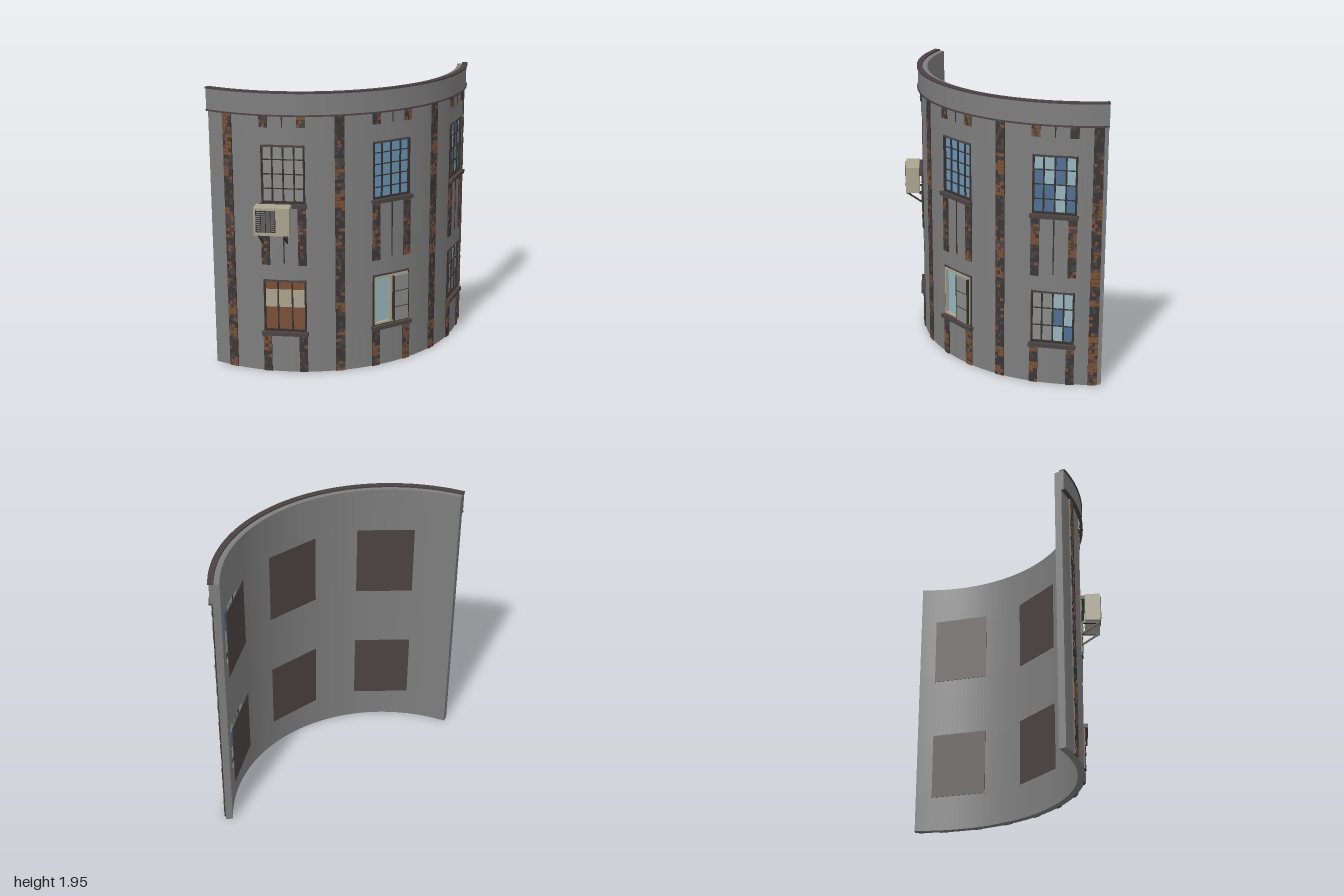
import * as THREE from 'three';
import { mergeGeometries } from 'three/addons/utils/BufferGeometryUtils.js';

const D = Math.PI / 180;
const mat = (name, color, side = THREE.FrontSide) => {
  const m = new THREE.MeshStandardMaterial({ color, side });
  m.name = name;
  return m;
};

export function createModel() {
  const M = {
    wall: mat('wall grey', 0x7d7d7d),
    trim: mat('dark trim', 0x4b4343, THREE.DoubleSide),
    brick: mat('dark brick', 0x3b3636),
    brown: mat('brown brick', 0x7a5036),
    blue: mat('blue glass', 0x6a93b5),
    deep: mat('deep blue glass', 0x4f6f92),
    pale: mat('pale glass', 0x96b4bd),
    beige: mat('beige', 0xaaa48f),
    grey: mat('grey pane', 0x8a8a88),
    bar: mat('window bar', 0x35312f),
  };
  let seed = 7;
  const rand = () => (seed = (seed * 16807) % 2147483647) / 2147483647;

  const model = new THREE.Group();
  model.name = 'curvedFacade';
  const root = new THREE.Group();
  root.name = 'facade';
  root.position.set(0.05, 0, -0.81); // centre of the curve
  model.add(root);

  const add = (parent, name, geo, m) => {
    const mesh = new THREE.Mesh(geo, m);
    mesh.name = name;
    parent.add(mesh);
    return mesh;
  };
  // Ring sector between two radii, two angles (degrees from front) and two heights
  const sector = (r0, r1, a0, a1, y0, y1) => {
    const n = Math.max(1, Math.ceil((a1 - a0) / 1.5));
    const pts = [];
    const put = (r, a) => pts.push(new THREE.Vector2(r * Math.sin(a * D), -r * Math.cos(a * D)));
    for (let i = 0; i <= n; i++) put(r1, a0 + ((a1 - a0) * i) / n);
    for (let i = n; i >= 0; i--) put(r0, a0 + ((a1 - a0) * i) / n);
    const g = new THREE.ExtrudeGeometry(new THREE.Shape(pts), { depth: y1 - y0, bevelEnabled: false });
    return g.rotateX(-Math.PI / 2).translate(0, y0, 0);
  };
  const box = (parent, name, m, x0, x1, y0, y1, z0, z1) =>
    add(parent, name, new THREE.BoxGeometry(x1 - x0, y1 - y0, z1 - z0)
      .translate((x0 + x1) / 2, (y0 + y1) / 2, (z0 + z1) / 2), m);

  const A0 = -65, A1 = 55.2, BAY = 38.2, HOLE = 7.45;
  const RI = 1.08, RO = 1.128;
  const bays = [-BAY, 0, BAY];
  const storeys = [[0.285, 0.665], [1.19, 1.595]];

  // Curved wall with six openings
  const wall = [];
  let y = 0;
  for (const [b, t] of storeys) {
    wall.push(sector(RI, RO, A0, A1, y, b));
    let a = A0;
    for (const c of bays) {
      wall.push(sector(RI, RO, a, c - HOLE, b, t));
      a = c + HOLE;
    }
    wall.push(sector(RI, RO, a, A1, b, t));
    y = t;
  }
  wall.push(sector(RI, RO, A0, A1, y, 1.935));
  add(root, 'wall', mergeGeometries(wall), M.wall);

  // Cornice band with dark trims
  add(root, 'corniceBand', sector(RO, 1.146, A0, A1, 1.795, 1.935), M.wall);
  add(root, 'corniceCap', sector(1.115, 1.153, A0, A1, 1.935, 1.946), M.trim);
  add(root, 'corniceLowerTrim', sector(RO, 1.153, A0, A1, 1.787, 1.797), M.trim);

  // Brick piers: dark strips with clumps of brown bricks
  const strips = [], browns = [], darks = [];
  const pier = (c, half, y0, y1) => {
    strips.push(sector(RO - 0.005, 1.136, c - half, c + half, y0, y1));
    const rows = Math.max(2, Math.round((y1 - y0) / 0.024)), h = (y1 - y0) / rows;
    let chance = 0.3;
    for (let r = 0; r < rows; r++) {
      if (r % 3 === 0) chance = rand() < 0.4 ? 0.6 : 0.08;
      const shift = r % 2 ? 0.33 : 0;
      for (let k = 0; k < 3; k++) {
        const u0 = Math.max(0, k - shift) / 3, u1 = k === 2 ? 1 : (k + 1 - shift) / 3;
        const p = rand();
        const list = p < chance ? browns : p > 0.75 ? darks : null;
        if (list) list.push(sector(1.134, 1.1385, c - half + 2 * half * u0, c - half + 2 * half * u1,
          y0 + r * h + 0.001, y0 + (r + 1) * h - 0.002));
      }
    }
  };
  for (const c of [-57.4, -19.2, 19.5, 52.2]) pier(c, 1.62, 0, 1.79);
  for (const c of bays)
    for (const s of [-6.25, 6.25])
      for (const [a, b] of [[0, 0.275], [0.77, 1.18], [1.71, 1.79]]) pier(c + s, 1.43, a, b);
  add(root, 'brickPiers', mergeGeometries(strips), M.brick);
  add(root, 'brownBricks', mergeGeometries(browns), M.brown);
  add(root, 'darkBricks', mergeGeometries(darks), M.trim);

  // Thin wall seams between the piers
  const seams = [];
  for (const c of bays)
    for (const [a, b] of [[0.785, 1.18], [1.71, 1.79]]) seams.push(sector(RO - 0.004, 1.131, c - 0.2, c + 0.2, a, b));
  add(root, 'wallSeams', mergeGeometries(seams), M.bar);

  // Flat window: frame, sill, backing plate, panes and glazing bars
  const HW = 0.145;
  const makeWindow = (name, angle, [b, t], cols, rows, pane) => {
    const g = new THREE.Group();
    g.name = name;
    g.rotation.y = angle * D;
    root.add(g);
    const y0 = b + 0.008, y1 = t - 0.005, f = 0.012;
    box(g, 'sill', M.trim, -0.158, 0.158, b - 0.018, b + 0.008, 1.09, 1.149);
    box(g, 'backingPlate', M.trim, -0.198, 0.198, b - 0.047, t + 0.046, 1.038, 1.042);
    for (const s of [-1, 1]) box(g, 'frameSide', M.bar, s * (HW - f / 2) - f / 2, s * (HW - f / 2) + f / 2, y0, y1, 1.095, 1.122);
    box(g, 'frameTop', M.trim, -HW, HW, y1 - f, y1, 1.095, 1.122);
    box(g, 'frameBottom', M.bar, -HW, HW, y0, y0 + f, 1.095, 1.12);
    const w = (2 * HW) / cols, h = (y1 - y0) / rows;
    for (let i = 0; i < cols; i++)
      for (let j = 0; j < rows; j++)
        box(g, 'pane', pane(i, j), -HW + i * w, -HW + (i + 1) * w, y0 + j * h, y0 + (j + 1) * h, 1.1, 1.106);
    for (let i = 1; i < cols; i++) box(g, 'verticalBar', M.bar, -HW + i * w - 0.005, -HW + i * w + 0.005, y0, y1, 1.1, 1.115);
    for (let j = 1; j < rows; j++) box(g, 'crossBar', M.bar, -HW, HW, y0 + j * h - 0.003, y0 + j * h + 0.003, 1.1, 1.113);
    return g;
  };
  const [low, high] = storeys;
  const mixed = (...list) => () => list[Math.floor(rand() * list.length)];
  makeWindow('upperRightWindow', -BAY, high, 4, 4, () => M.grey);
  makeWindow('upperCentreWindow', 0, high, 4, 5, () => M.blue);
  makeWindow('upperLeftWindow', BAY, high, 4, 4, (i) => (i % 2 ? mixed(M.pale, M.pale, M.deep)() : mixed(M.deep, M.deep, M.pale)()));
  makeWindow('lowerLeftWindow', BAY, low, 4, 3, (i) => (i < 2 ? M.grey : mixed(M.pale, M.pale, M.deep)()));
  makeWindow('lowerRightWindow', -BAY, low, 3, 1, () => M.brown).children
    .filter((m) => m.name === 'pane')
    .forEach((m) => {
      m.geometry.computeBoundingBox();
      const { min, max } = m.geometry.boundingBox;
      box(m.parent, 'blind', M.beige, min.x, max.x, 0.465, 0.59, 1.106, 1.109);
    });

  // Lower centre window with an opened sash
  const open = makeWindow('lowerCentreWindow', 0, low, 2, 1, () => M.pale);
  for (const [x0, x1] of [[-0.133, -0.122], [-0.015, 0.005], [0.122, 0.135]])
    box(open, 'innerPost', M.beige, x0, x1, 0.305, 0.648, 1.1, 1.13);
  for (const yy of [0.303, 0.636]) box(open, 'innerRail', M.beige, -0.133, 0.135, yy, yy + 0.012, 1.1, 1.13);
  box(open, 'openSash', M.grey, 0.012, 0.128, 0.31, 0.638, 1.11, 1.148);
  for (const yy of [0.41, 0.525]) box(open, 'sashBar', M.bar, 0.012, 0.128, yy, yy + 0.004, 1.148, 1.15);
  for (const x of [0.01, 0.125]) box(open, 'sashEdge', M.bar, x, x + 0.005, 0.31, 0.638, 1.12, 1.15);

  // Air conditioner on brackets
  const ac = new THREE.Group();
  ac.name = 'airConditioner';
  ac.rotation.y = -BAY * D;
  root.add(ac);
  const L = -0.177, R = 0.058;
  box(ac, 'casing', M.beige, L, R, 1.012, 1.2, 1.15, 1.248);
  box(ac, 'grilleBack', M.grey, L + 0.015, L + 0.145, 1.035, 1.185, 1.246, 1.25);
  for (let i = 0; i < 11; i++)
    box(ac, 'grilleSlat', M.bar, L + 0.015, L + 0.145, 1.037 + i * 0.0138, 1.043 + i * 0.0138, 1.249, 1.253);
  for (let i = 0; i < 5; i++)
    box(ac, 'grilleRib', M.bar, L + 0.015 + i * 0.0315, L + 0.019 + i * 0.0315, 1.035, 1.185, 1.249, 1.254);
  for (const x of [L + 0.035, R - 0.035]) {
    box(ac, 'bracketArm', M.bar, x - 0.006, x + 0.006, 1.0, 1.012, 1.12, 1.245);
    const len = Math.hypot(0.11, 0.075);
    const strut = add(ac, 'bracketStrut', new THREE.BoxGeometry(0.01, 0.01, len), M.bar);
    strut.position.set(x, 0.967, 1.185);
    strut.rotation.x = -Math.atan2(0.075, 0.11);
    box(ac, 'bracketFoot', M.bar, x - 0.006, x + 0.006, 0.925, 1.012, 1.12, 1.135);
  }
  return model;
}
